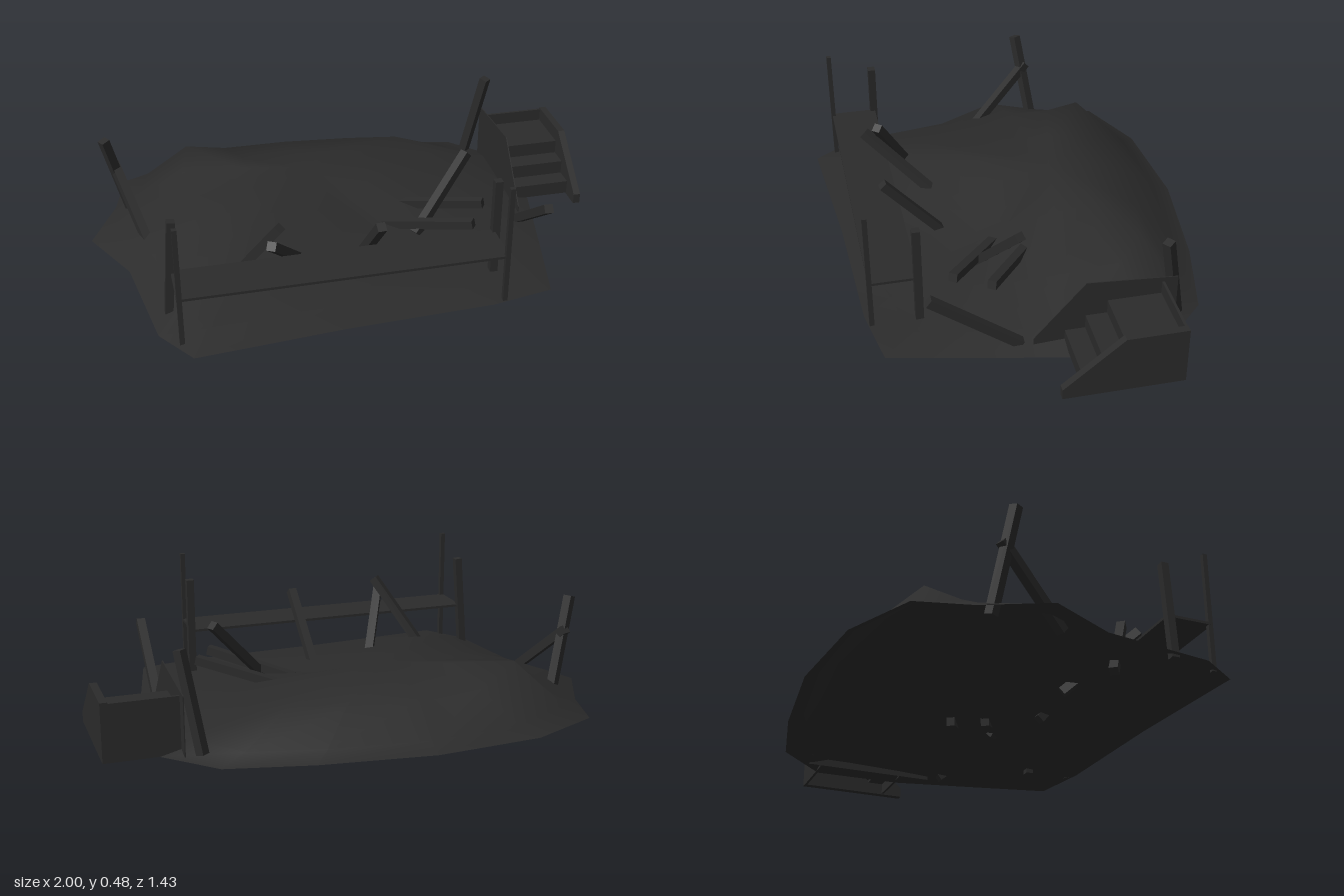
import * as THREE from 'three';

export function createModel() {
  const group = new THREE.Group();
  const charcoal = new THREE.MeshStandardMaterial({ color: 0x2b2b2b, side: THREE.DoubleSide });
  charcoal.name = 'charcoal';

  const add = (name, geometry, parent = group) => {
    const mesh = new THREE.Mesh(geometry, charcoal);
    mesh.name = name;
    parent.add(mesh);
    return mesh;
  };
  const box = (name, x0, x1, y0, y1, z0, z1, parent) => {
    const mesh = add(name, new THREE.BoxGeometry(x1 - x0, y1 - y0, z1 - z0), parent);
    mesh.position.set((x0 + x1) / 2, (y0 + y1) / 2, (z0 + z1) / 2);
  };

  // Earth mound: open shell of rings [outline x, outline z, shoulder height, crown height]
  const outline = [
    [-1, -0.126, 0.13, 0.165], [-0.887, -0.36, 0.17, 0.185], [-0.834, -0.565, 0.215, 0.195],
    [-0.56, -0.688, 0.145, 0.18], [-0.14, -0.72, 0.132, 0.175], [0.294, -0.666, 0.135, 0.172],
    [0.62, -0.59, 0.142, 0.17], [0.807, -0.4, 0.112, 0.168], [0.8, -0.045, 0.09, 0.158],
    [0.73, 0.28, 0.05, 0.125], [0.658, 0.6, 0.032, 0.082], [0.417, 0.644, 0.042, 0.1],
    [-0.14, 0.665, 0.07, 0.135], [-0.7, 0.71, 0.092, 0.155], [-0.807, 0.553, 0.112, 0.16],
    [-0.872, 0.125, 0.12, 0.165],
  ];
  const centre = [-0.15, 0.188, -0.2];
  const rings = [
    [0.3, ([, , , crown]) => crown],
    [0.62, ([, , shoulder]) => shoulder],
    [0.87, ([, z, shoulder]) => shoulder * (z < -0.5 ? 0.22 : 0.36)],
    [1, () => 0],
  ];
  const positions = [...centre], index = [], n = outline.length;
  rings.forEach(([t, height], r) => {
    outline.forEach((point, i) => {
      const [x, z] = point;
      positions.push(centre[0] + (x - centre[0]) * t, height(point), centre[2] + (z - centre[2]) * t);
      const a = 1 + r * n + i, b = 1 + r * n + (i + 1) % n;
      if (r === 0) index.push(0, b, a);
      else index.push(a - n, b - n, b, a - n, b, a);
    });
  });
  const moundGeometry = new THREE.BufferGeometry();
  moundGeometry.setAttribute('position', new THREE.Float32BufferAttribute(positions, 3));
  moundGeometry.setIndex(index);
  moundGeometry.computeVertexNormals();
  add('mound', moundGeometry);

  // Leaning boards, each from its foot to its tip, with one pair of sides kept upright
  const up = new THREE.Vector3(0, 1, 0);
  const board = (name, foot, tip, width = 0.034, parent = group) => {
    const a = new THREE.Vector3(...foot), b = new THREE.Vector3(...tip);
    const mesh = add(name, new THREE.BoxGeometry(width, a.distanceTo(b), width), parent);
    mesh.position.copy(a).add(b).multiplyScalar(0.5);
    const along = b.sub(a).normalize();
    const across = along.clone().cross(up).normalize();
    mesh.quaternion.setFromRotationMatrix(
      new THREE.Matrix4().makeBasis(across, along, across.clone().cross(along)));
  };
  [
    [[-0.82, 0.01, -0.28], [-0.912, 0.39, -0.225]],
    [[-0.78, 0.02, 0], [-0.88, 0.265, -0.265]],
    [[-0.523, 0.041, 0.332], [-0.345, 0.34, 0.475]],
    [[-0.24, 0.06, 0.26], [-0.385, 0.3, 0.525]],
    [[0, 0.042, 0.273], [0.022, 0.31, 0.505]],
    [[0.245, 0.055, 0.19], [0.48, 0.32, 0.065]],
    [[0.23, 0.077, -0.013], [0.52, 0.15, 0.18]],
    [[0.14, 0.06, 0.1], [0.44, 0.145, 0.31]],
    [[0.695, 0.01, 0.11], [0.69, 0.255, 0.44]],
    [[0.66, 0.02, -0.485], [0.715, 0.39, -0.415]],
  ].forEach(([foot, tip], i) => board('leaningBoard' + (i + 1), foot, tip));

  // Long front shelf with its four posts
  const shelf = new THREE.Group();
  shelf.name = 'shelf';
  group.add(shelf);
  box('shelfPlank', -0.74, 0.475, 0.185, 0.195, 0.44, 0.625, shelf);
  for (const x of [-0.73, 0.467]) box('frontPost', x - 0.009, x + 0.009, 0, 0.48, 0.612, 0.63, shelf);
  box('backPost', 0.464, 0.494, 0, 0.41, 0.43, 0.46, shelf);
  board('leaningBackPost', [-0.757, 0.01, 0.445], [-0.726, 0.405, 0.445], 0.03, shelf);

  // Stairs with two sloping side panels
  const stairs = new THREE.Group();
  stairs.name = 'stairs';
  group.add(stairs);
  const sidePanel = (name, x, width, profile) => {
    const shape = new THREE.Shape(profile.map(([z, y]) => new THREE.Vector2(-z, y)));
    const geometry = new THREE.ExtrudeGeometry(shape, { depth: width, bevelEnabled: false });
    geometry.rotateY(Math.PI / 2);
    add(name, geometry, stairs).position.x = x;
  };
  sidePanel('outerPanel', 0.972, 0.028, [[0.035, 0], [0.035, 0.04], [-0.185, 0.225], [-0.41, 0.225], [-0.41, 0]]);
  sidePanel('innerPanel', 0.715, 0.004, [[0.07, 0], [0.07, 0.04], [-0.12, 0.26], [-0.46, 0.235], [-0.46, 0]]);
  box('backPanel', 0.715, 0.98, 0, 0.22, -0.41, -0.4, stairs);
  [[-0.4, -0.2, 0.17], [-0.2, -0.12, 0.115], [-0.12, -0.045, 0.06]].forEach(([z0, z1, y]) => {
    box('tread', 0.717, 0.975, y - 0.012, y, z0, z1, stairs);
    box('riser', 0.717, 0.975, y - 0.055, y - 0.012, z1 - 0.01, z1, stairs);
  });

  return group;
}
